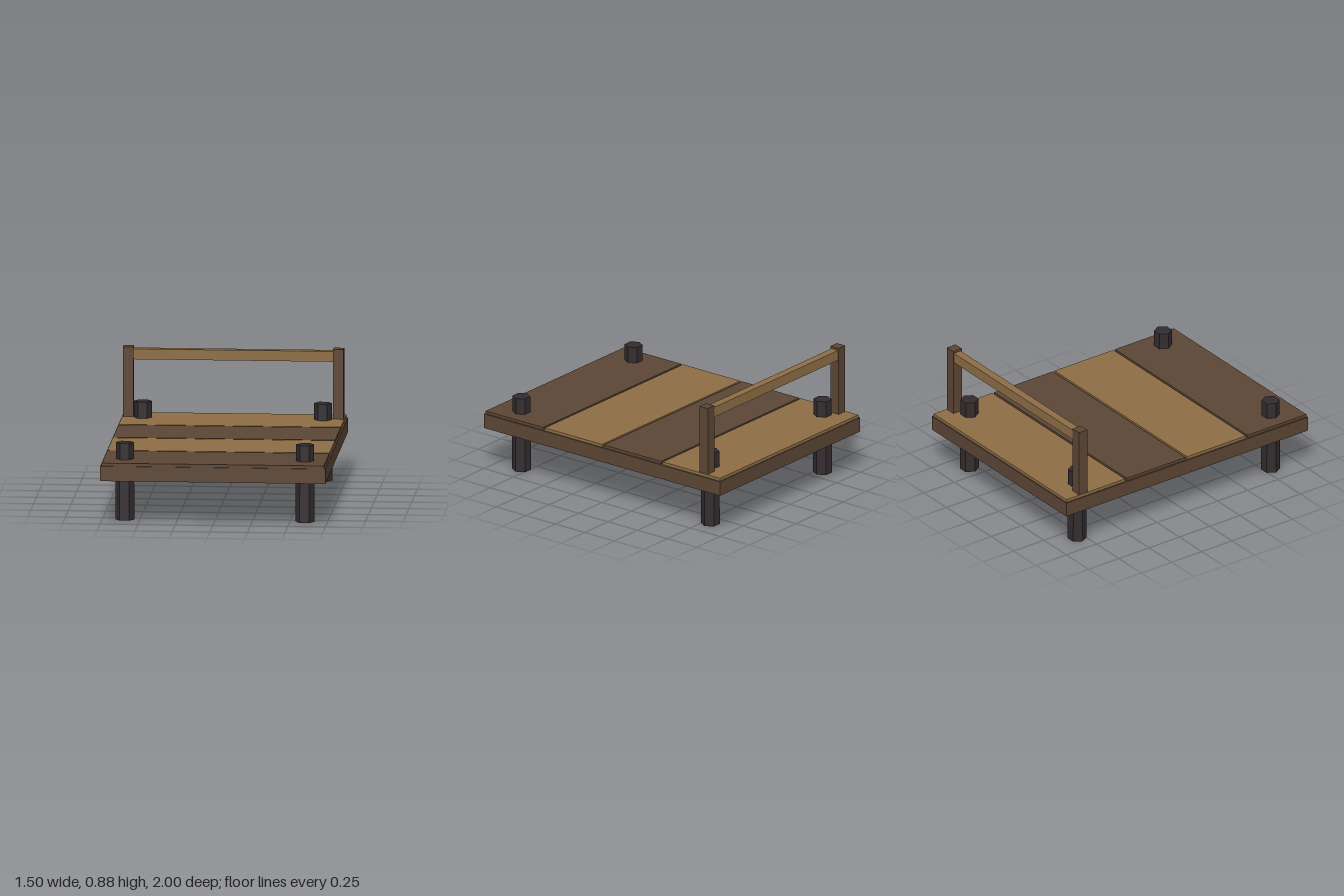
import * as THREE from 'three';

export function createModel() {
  const model = new THREE.Group();
  model.name = 'woodenPlatform';

  const material = (name, color) => {
    const m = new THREE.MeshStandardMaterial({ color });
    m.name = name;
    return m;
  };
  const darkWood = material('darkWood', 0x5c4635);
  const lightWood = material('lightWood', 0x8d6e45);
  const pileWood = material('blackenedWood', 0x332c2e);
  pileWood.flatShading = true;

  const add = (name, geometry, mat, x, y, z) => {
    const mesh = new THREE.Mesh(geometry, mat);
    mesh.name = name;
    mesh.position.set(x, y, z);
    model.add(mesh);
  };
  const box = (name, w, h, d, mat, x, y, z) =>
    add(name, new THREE.BoxGeometry(w, h, d), mat, x, y, z);

  // Thick deck slab
  box('deck', 1.5, 0.1, 2, darkWood, 0, 0.34, 0);

  // Four wide planks in alternating tones, back to front
  for (let i = 0; i < 4; i++) {
    box('plank', 1.48, 0.02, 0.485, i % 2 ? darkWood : lightWood, 0, 0.4, -0.75 + i * 0.5);
  }

  // Six-sided piles running through the deck, slightly wider at the foot
  const pile = new THREE.CylinderGeometry(0.06, 0.064, 0.52, 6, 1, false, Math.PI / 6);
  for (const x of [-0.6, 0.6]) {
    for (const z of [-0.8, 0.8]) add('pile', pile, pileWood, x, 0.26, z);
  }

  // Railing at the back: two posts and a bar between them
  for (const x of [-0.7, 0.7]) box('railPost', 0.07, 0.48, 0.07, darkWood, x, 0.64, -0.85);
  box('railBar', 1.35, 0.07, 0.055, lightWood, 0, 0.83, -0.853);

  return model;
}
